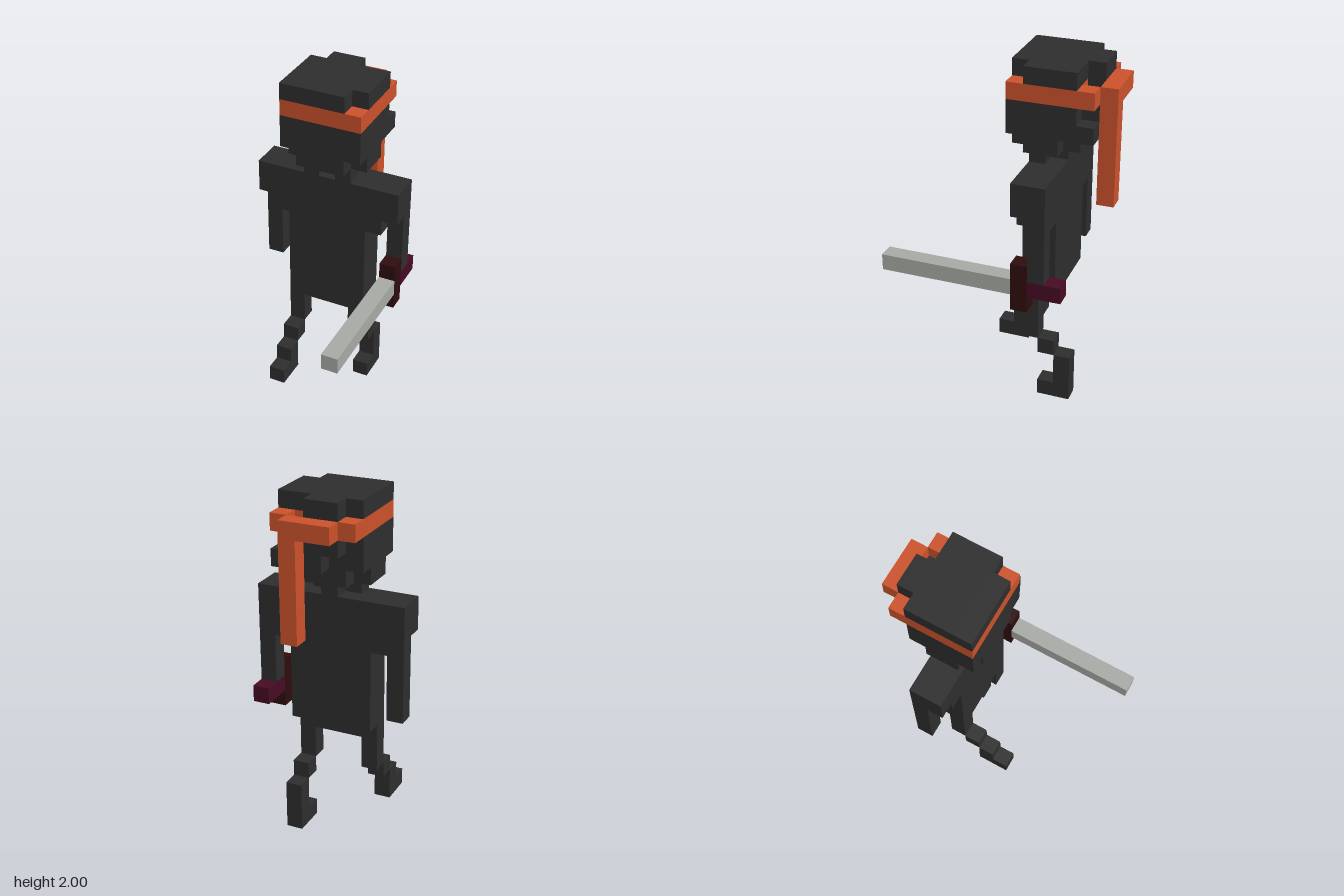
import * as THREE from 'three';

const U = 2 / 21; // one block

export function createModel() {
  const root = new THREE.Group();
  root.name = 'blockFighter';
  const mat = (name, color) => {
    const m = new THREE.MeshStandardMaterial({ color });
    m.name = name;
    return m;
  };
  const cloth = mat('charcoal cloth', 0x2d2d2d);
  const orange = mat('orange band', 0xca512b);
  const steel = mat('grey steel', 0xa6a8a3);
  const brown = mat('dark brown guard', 0x2e0c0d);
  const plum = mat('plum grip', 0x460b23);

  // Each box is [x0, x1, y0, y1, z0, z1] in whole blocks
  const part = (name, material, boxes) => {
    const group = new THREE.Group();
    group.name = name;
    for (const [x0, x1, y0, y1, z0, z1] of boxes) {
      const mesh = new THREE.Mesh(
        new THREE.BoxGeometry((x1 - x0) * U, (y1 - y0) * U, (z1 - z0) * U), material);
      mesh.name = name + 'Block';
      mesh.position.set(((x0 + x1) / 2 - 4.5) * U, (y0 + y1) / 2 * U, ((z0 + z1) / 2 - 6.5) * U);
      group.add(mesh);
    }
    root.add(group);
  };

  // Head: chin with cut corners, face, crown with one notched corner
  part('chin', cloth, [[3, 6, 16, 17, 2, 6], [2, 3, 16, 17, 3, 5], [6, 7, 16, 17, 3, 5]]);
  part('face', cloth, [[2, 7, 17, 19, 2, 6]]);
  part('crown', cloth, [[2, 7, 20, 21, 2, 5], [2, 6, 20, 21, 5, 6], [3, 5, 20, 21, 1, 2]]);
  part('backOfHead', cloth, [
    [3, 5, 19, 20, 1, 2], [3, 6, 18, 19, 1, 2], [4, 5, 17, 18, 1, 2], [6, 7, 17, 18, 1, 2],
  ]);

  // Headband with a knot row and a hanging tail
  part('headband', orange, [
    [2, 7, 19, 20, 2, 6], [2, 3, 19, 20, 1, 2], [6, 7, 19, 20, 1, 2], [3, 5, 19, 20, 0, 1],
  ]);
  part('headbandTail', orange, [[5, 6, 13, 20, 0, 1]]);

  // Neck and body
  part('neck', cloth, [[3, 4, 15, 16, 4, 5], [4, 5, 15, 16, 3, 4], [5, 6, 15, 16, 4, 5]]);
  part('shoulders', cloth, [[0, 9, 13, 15, 3, 5], [1, 8, 12, 13, 3, 5]]);
  part('torso', cloth, [[2, 7, 7, 12, 3, 5], [2, 7, 6, 7, 4, 5]]);

  // Arms
  part('rightArm', cloth, [[0, 1, 8, 13, 3, 4]]);
  part('leftArm', cloth, [[8, 9, 9, 13, 3, 4]]);

  // Right leg steps forward, left leg steps back
  part('rightLeg', cloth, [
    [2, 3, 4, 6, 4, 5], [2, 3, 3, 4, 5, 6], [2, 3, 1, 3, 6, 7], [2, 3, 1, 2, 7, 8],
  ]);
  part('leftLeg', cloth, [
    [6, 7, 4, 6, 4, 5], [6, 7, 3, 4, 3, 4], [6, 7, 0, 3, 2, 3], [6, 7, 0, 1, 3, 4],
  ]);

  // Sword
  part('swordGrip', plum, [[8, 9, 8, 9, 2, 4]]);
  part('swordGuard', brown, [[8, 9, 7, 10, 4, 5]]);
  part('swordBlade', steel, [[8, 9, 8, 9, 5, 13]]);

  return root;
}
